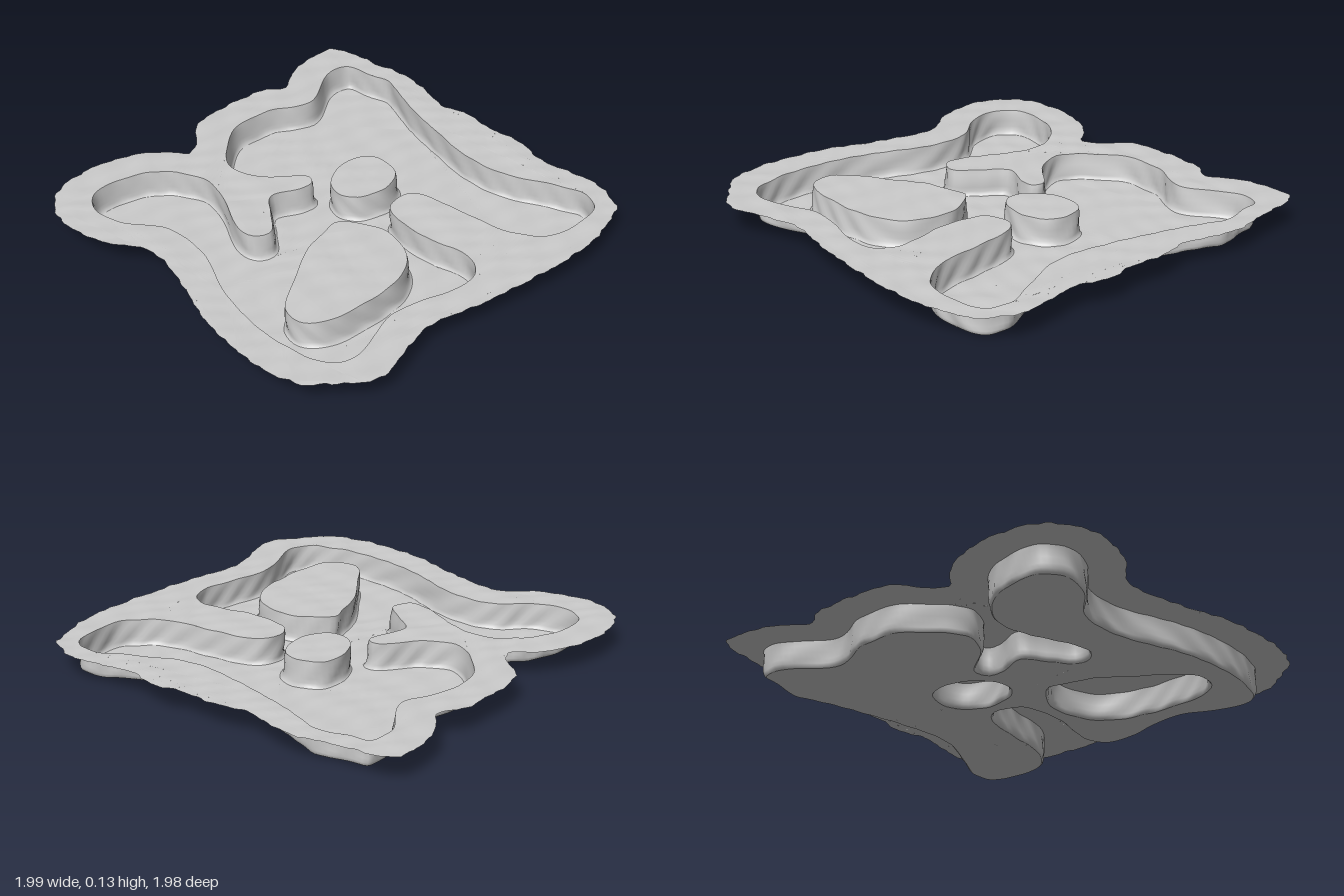
import * as THREE from 'three';
import { mergeVertices } from 'three/addons/utils/BufferGeometryUtils.js';

const TOP = 0.203, FLOOR = 0.08;
const material = new THREE.MeshStandardMaterial({ color: 0xcccccc, side: THREE.DoubleSide });

// Plan outlines as x, z pairs in hundredths of a unit
const RIM = [-65, -99, -45, -95, -34, -89, -27, -82, -23, -77, -14, -82, -7, -91, 4, -95, 28, -95, 38, -94,
  47, -88, 59, -95, 71, -99, 90, -98, 94, -88, 96, -71, 99, -56, 97, -40, 93, -24, 96, -11, 95, 8, 97, 23,
  93, 40, 95, 53, 97, 72, 93, 82, 90, 88, 78, 93, 64, 97, 43, 98, 19, 96, -5, 93, -31, 88, -45, 91, -69, 97,
  -85, 86, -94, 78, -99, 61, -99, 43, -96, 21, -89, 0, -83, -24, -84, -35, -93, -48, -97, -61, -98, -75,
  -94, -86, -85, -95];
const BASIN = [-65, -83, -76, -81, -82, -71, -79, -56, -67, -39, -67, -15, -78, 13, -83, 40, -82, 61, -77, 76,
  -67, 81, -36, 72, 0, 79, 10, 76, 15, 67, 11, 40, 14, 20, 19, 16, 28, 16, 33, 21, 37, 43, 41, 67, 53, 82,
  70, 84, 83, 81, 87, 70, 82, 57, 71, 32, 70, 13, 74, -8, 80, -32, 87, -51, 89, -57, 86, -70, 84, -81,
  77, -83, 70, -82, 48, -70, 28, -78, 7, -78, -7, -68, -14, -60, -16, -53, -11, -40, 5, -25, 3, -20, -3, -20,
  -18, -25, -26, -16, -36, -5, -44, -9, -44, -18, -34, -40, -31, -55, -37, -69, -47, -78];
const ROUND_ISLAND = [23, -21, 35, -19, 39, -12, 37, 0, 25, 6, 11, 3, 6, -4, 9, -14];
const LONG_ISLAND = [-10, 9, -1, 20, 2, 29, -3, 47, -15, 56, -33, 59, -61, 56, -68, 49, -67, 39, -51, 27,
  -32, 15, -18, 11];

// Gentle hand-worked ripple of the surfaces
const ripple = (x, z) => 0.0016 * Math.sin(31 * x + 17 * z + 2 * Math.sin(9 * z))
  + 0.0014 * Math.sin(47 * z - 23 * x + 2 * Math.sin(11 * x));

// Smooth closed outline, evenly sampled, always wound the same way
function outline(table, ragged = 0) {
  const pts = [];
  for (let i = 0; i < table.length; i += 2) pts.push(new THREE.Vector3(table[i] / 100, 0, table[i + 1] / 100));
  const curve = new THREE.CatmullRomCurve3(pts, true, 'centripetal');
  const n = Math.round(curve.getLength() / 0.025);
  const loop = curve.getSpacedPoints(n).slice(0, n).map((p, i) => {
    const k = 1 + ragged * (Math.sin(i * 1.3) + Math.sin(i * 2.1 + 1));
    return new THREE.Vector2(p.x * k, p.z * k);
  });
  return THREE.ShapeUtils.area(loop) < 0 ? loop.reverse() : loop;
}

// Moves an outline sideways: positive goes inward
function inset(loop, amount, wobble = 0, phase = 0) {
  const n = loop.length;
  return loop.map((p, i) => {
    const t = loop[(i + 1) % n].clone().sub(loop[(i + n - 1) % n]).normalize();
    const d = amount + wobble * Math.sin(p.x * 43 + p.y * 37 + phase);
    return new THREE.Vector2(p.x - t.y * d, p.y + t.x * d);
  });
}

function addMesh(group, name, geometry) {
  geometry.computeVertexNormals();
  const mesh = new THREE.Mesh(geometry, material);
  mesh.name = name;
  group.add(mesh);
}

// Rippled sheet inside an outline: triangulated, then split to an even fineness
function sheet(contour, holes, y) {
  const all = [contour, ...holes].flat();
  const out = [];
  const split = (a, b, c) => {
    const ab = a.distanceTo(b), bc = b.distanceTo(c), ca = c.distanceTo(a);
    const longest = Math.max(ab, bc, ca);
    if (longest < 0.05) {
      for (const p of [a, b, c]) out.push(p.x, y + ripple(p.x, p.y), p.y);
    } else if (longest === bc) split(b, c, a);
    else if (longest === ca) split(c, a, b);
    else {
      const m = a.clone().add(b).multiplyScalar(0.5);
      split(a, m, c);
      split(m, b, c);
    }
  };
  for (const [i, j, k] of THREE.ShapeUtils.triangulateShape(contour, holes)) {
    const up = THREE.ShapeUtils.area([all[i], all[j], all[k]]) < 0;
    if (up) split(all[i], all[j], all[k]);
    else split(all[i], all[k], all[j]);
  }
  const geometry = new THREE.BufferGeometry();
  geometry.setAttribute('position', new THREE.Float32BufferAttribute(out, 3));
  return mergeVertices(geometry, 1e-5);
}

// Rings of a wall from the top edge to the floor, rounded at the foot; side 1 = basin, -1 = island
function wallRings(loop, side) {
  const profile = [[0, TOP, 0], [0.002, 0.18, 0.002], [0.003, 0.15, 0.004], [0.004, 0.12, 0.004],
    [0.005, 0.1, 0.003], [0.009, 0.086, 0.001], [0.016, FLOOR, 0]];
  return profile.map(([d, y, wobble]) => {
    const drop = (TOP - y) / (TOP - FLOOR);
    const ring = inset(loop, d * side, wobble, y * 40);
    for (const p of ring) p.add(new THREE.Vector2(0.005 * drop, 0.009 * drop));
    return { ring, y };
  });
}

function wall(rings, side) {
  const n = rings[0].ring.length, position = [], index = [];
  rings.forEach(({ ring, y }, r) => ring.forEach((p, i) => {
    position.push(p.x, y + ripple(p.x, p.y), p.y);
    if (r === rings.length - 1) return;
    const a = r * n + i, b = r * n + (i + 1) % n, c = a + n, d = b + n;
    if (side > 0) index.push(a, c, b, b, c, d);
    else index.push(a, b, c, b, d, c);
  }));
  const geometry = new THREE.BufferGeometry();
  geometry.setAttribute('position', new THREE.Float32BufferAttribute(position, 3));
  geometry.setIndex(index);
  return geometry;
}

export function createModel() {
  const group = new THREE.Group();
  group.name = 'sunkenBasin';

  // Flat ragged rim around the basin
  const basin = outline(BASIN);
  addMesh(group, 'rim', sheet(outline(RIM, 0.003), [basin], TOP));

  // Wall of the basin
  const basinRings = wallRings(basin, 1);
  addMesh(group, 'basinWall', wall(basinRings, 1));

  // Raised islands, hollow from below
  const footprints = [];
  for (const [name, table] of [['roundIsland', ROUND_ISLAND], ['longIsland', LONG_ISLAND]]) {
    const loop = outline(table);
    const rings = wallRings(loop, -1);
    addMesh(group, name + 'Top', sheet(loop, [], TOP));
    addMesh(group, name + 'Wall', wall(rings, -1));
    footprints.push(rings.at(-1).ring);
  }

  // Basin floor, open under the islands
  addMesh(group, 'floor', sheet(basinRings.at(-1).ring, footprints, FLOOR));
  return group;
}
